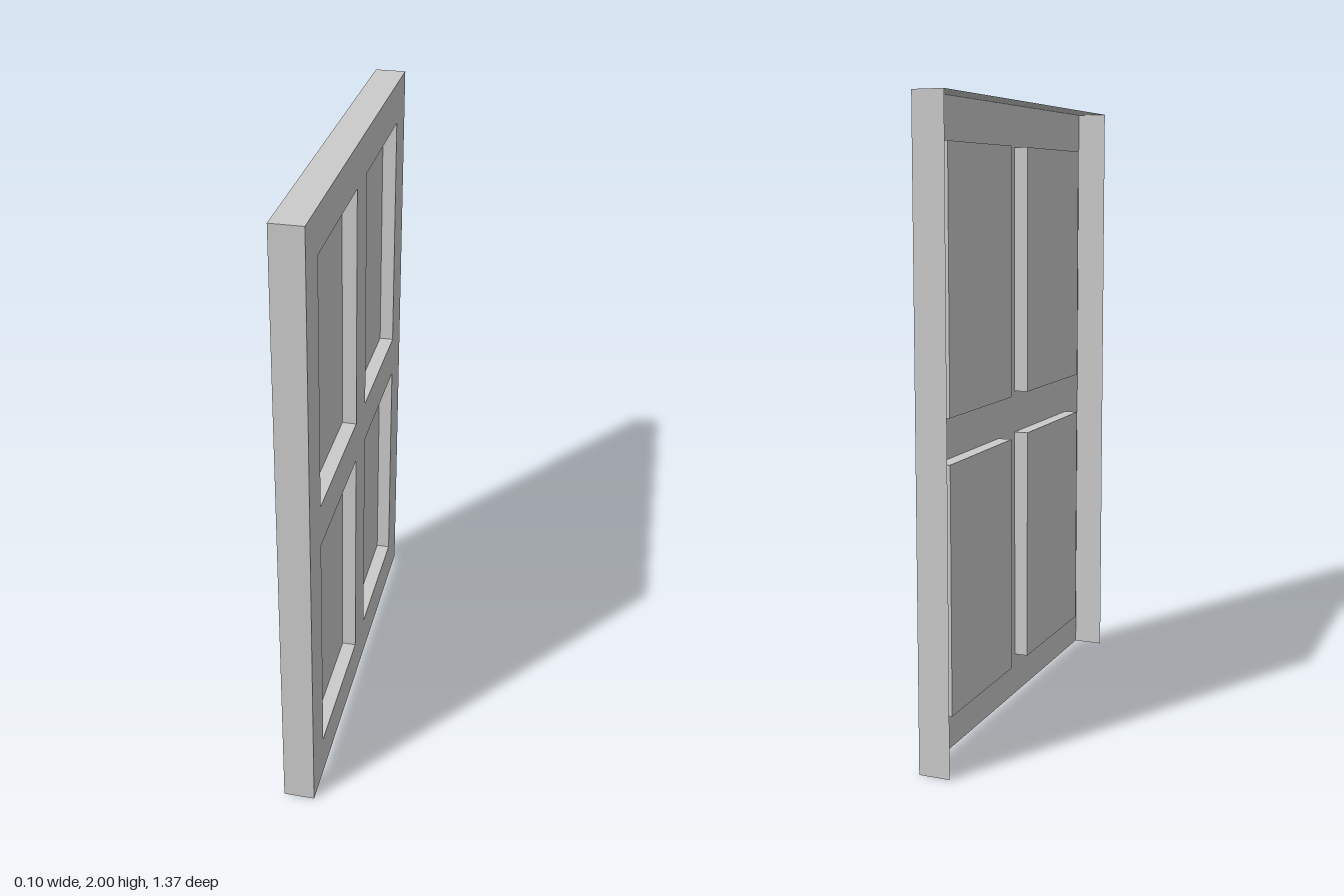
import * as THREE from 'three';

const material = new THREE.MeshStandardMaterial({ color: 0xcccccc, side: THREE.DoubleSide });
const Q = Math.PI / 2;

// Thin sheet, turned to face its outward direction
function sheet(name, w, h, position, rx = 0, ry = 0) {
  const mesh = new THREE.Mesh(new THREE.PlaneGeometry(w, h), material);
  mesh.name = name;
  mesh.position.set(...position);
  mesh.rotation.set(rx, ry, 0);
  return mesh;
}

export function createModel() {
  const model = new THREE.Group();
  model.name = 'panelledDoor';

  // Built facing +z, then turned to face +x
  const door = new THREE.Group();
  door.name = 'door';
  door.rotation.y = Q;
  model.add(door);

  const half = 0.687, height = 2, face = 0.05, depth = 0.046;
  const columns = [[-0.556, -0.064], [0.074, 0.551]];
  const rows = [[0.14, 0.92], [1.06, 1.865]];

  // Front face, with an opening for each recessed panel
  const outline = new THREE.Shape([
    new THREE.Vector2(-half, 0), new THREE.Vector2(half, 0),
    new THREE.Vector2(half, height), new THREE.Vector2(-half, height),
  ]);

  for (const [u0, u1] of columns) {
    for (const [v0, v1] of rows) {
      outline.holes.push(new THREE.Path([
        new THREE.Vector2(u0, v0), new THREE.Vector2(u0, v1),
        new THREE.Vector2(u1, v1), new THREE.Vector2(u1, v0),
      ]));

      // Recess: a back panel and four walls facing inward
      const w = u1 - u0, h = v1 - v0, u = (u0 + u1) / 2, v = (v0 + v1) / 2;
      const mid = face - depth / 2;
      const recess = new THREE.Group();
      recess.name = 'recessedPanel';
      recess.add(
        sheet('panelBack', w, h, [u, v, face - depth]),
        sheet('recessSill', w, depth, [u, v0, mid], -Q),
        sheet('recessHead', w, depth, [u, v1, mid], Q),
        sheet('recessSide', depth, h, [u0, v, mid], 0, Q),
        sheet('recessSide', depth, h, [u1, v, mid], 0, -Q),
      );
      door.add(recess);
    }
  }

  const front = new THREE.Mesh(new THREE.ShapeGeometry(outline), material);
  front.name = 'frontFace';
  front.position.z = face;

  // Top and side edges; the back and bottom stay open
  door.add(
    front,
    sheet('topEdge', 2 * half, 2 * face, [0, height, 0], -Q),
    sheet('sideEdge', 2 * face, height, [half, height / 2, 0], 0, Q),
    sheet('sideEdge', 2 * face, height, [-half, height / 2, 0], 0, -Q),
  );
  return model;
}
